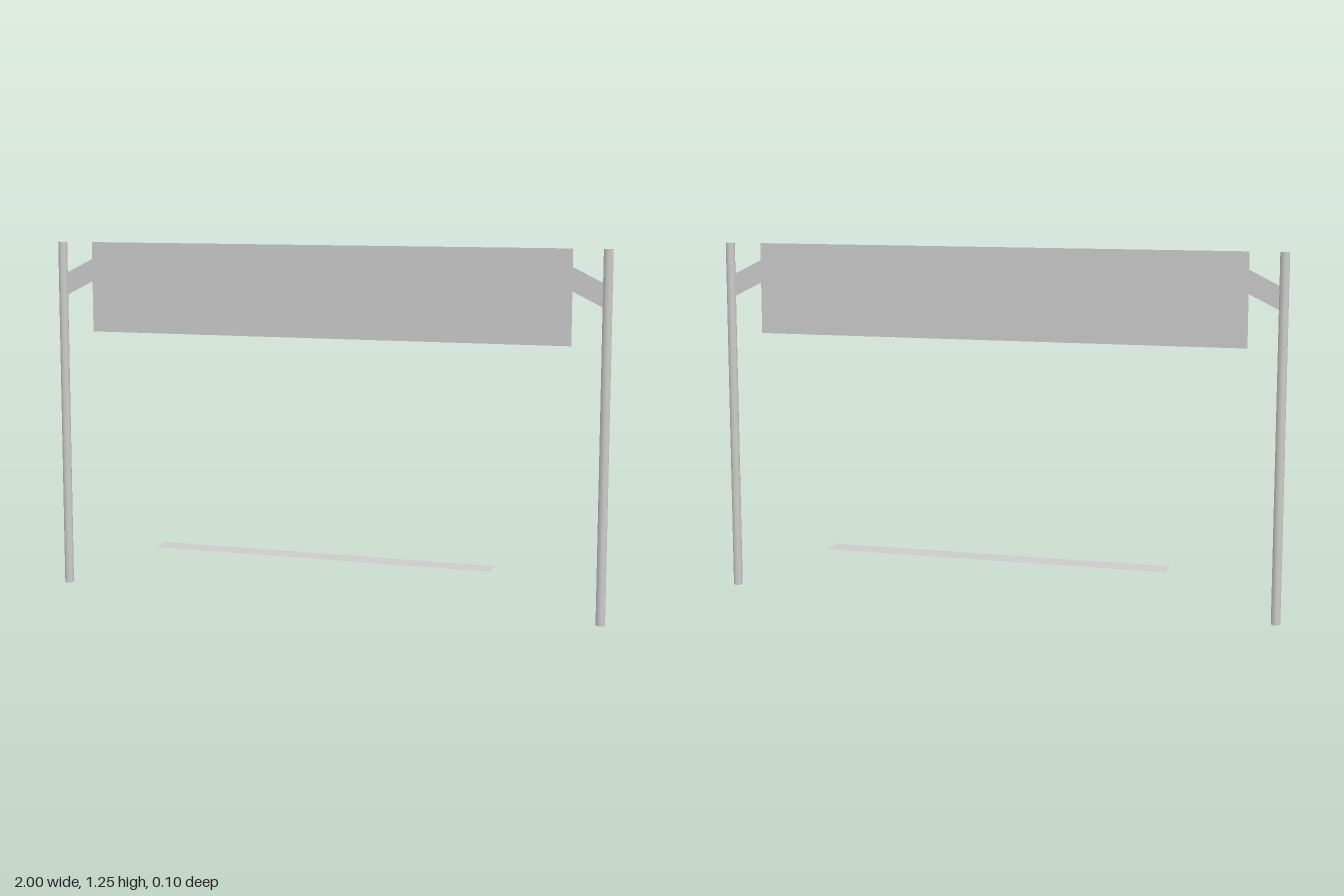
import * as THREE from 'three';

const solid = new THREE.MeshStandardMaterial({ color: 0xcccccc });
const thin = new THREE.MeshStandardMaterial({ color: 0xcccccc, side: THREE.DoubleSide });

export function createModel() {
  const group = new THREE.Group();
  const add = (name, geometry, material, x = 0, y = 0) => {
    const mesh = new THREE.Mesh(geometry, material);
    mesh.name = name;
    mesh.position.set(x, y, 0);
    group.add(mesh);
    return mesh;
  };

  const height = 1.25, radius = 0.016, poleX = 1 - radius;
  const bannerHalf = 0.868, bannerBottom = 0.93;

  // Hanging cloth, flush with the pole tops
  add('banner', new THREE.PlaneGeometry(bannerHalf * 2, height - bannerBottom), thin,
    0, (height + bannerBottom) / 2);

  for (const [side, s] of [['left', 1], ['right', -1]]) {
    // Upright pole
    add(side + 'Pole', new THREE.CylinderGeometry(radius, radius, height, 12), solid,
      s * poleX, height / 2);

    // Slanted tie from banner edge down to the pole
    const tie = new THREE.Shape([
      [bannerHalf, 1.11], [poleX - radius, 1.06], [poleX - radius, 1.14], [bannerHalf, 1.19],
    ].map(([x, y]) => new THREE.Vector2(s * x, y)));
    add(side + 'Tie', new THREE.ShapeGeometry(tie), thin);
  }

  // Flat strip lying between the poles, a little above the ground
  add('lowerStrip', new THREE.PlaneGeometry(1.226, 0.096).rotateX(-Math.PI / 2), thin, 0, 0.165);

  return group;
}
